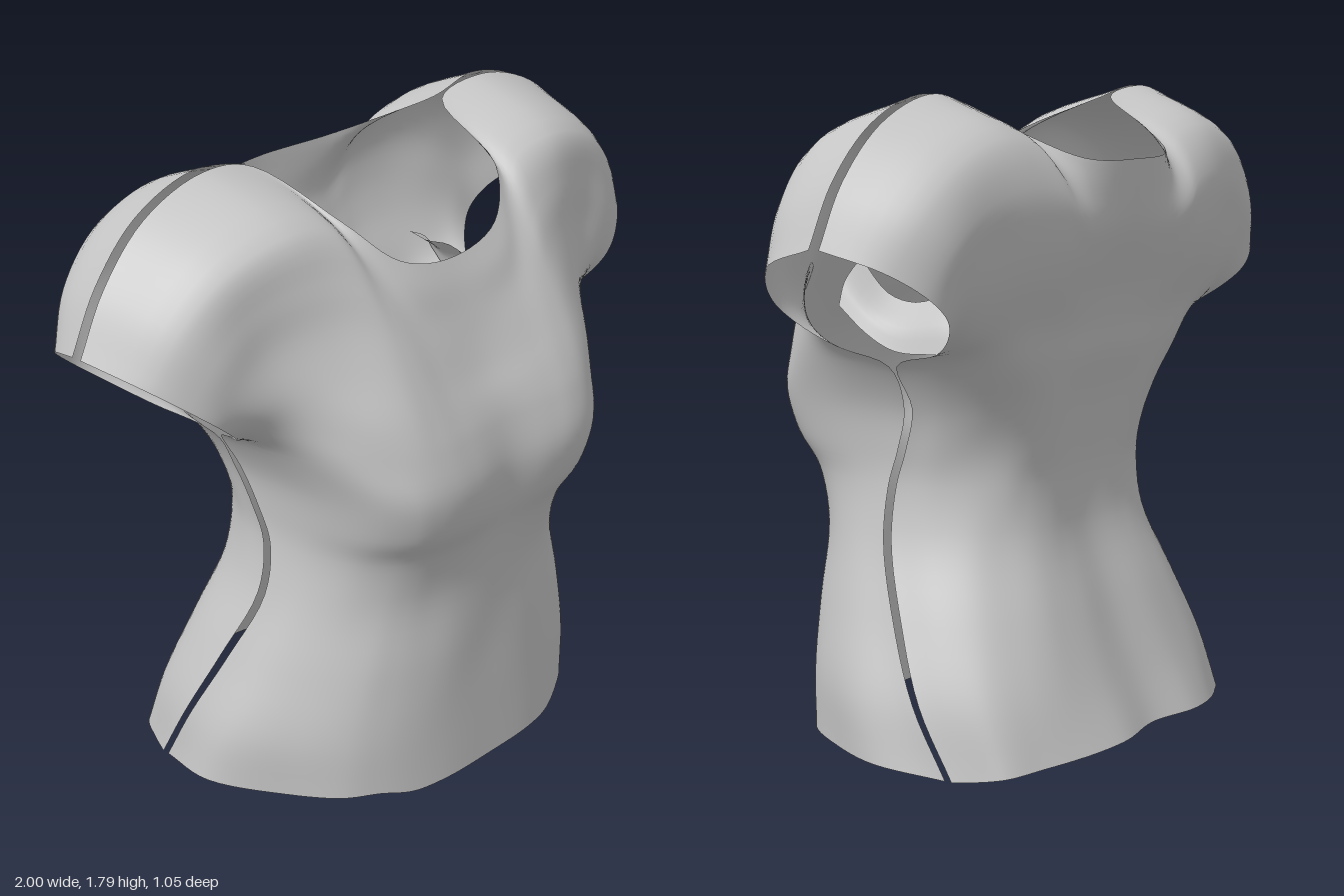
import * as THREE from 'three';

const fabric = new THREE.MeshStandardMaterial({ color: 0xc6c6c6, side: THREE.DoubleSide });
fabric.name = 'grey fabric';

// Smooth surface through a grid of control points (rows of Vector3)
function surface(name, grid, nu, nv, flip) {
  const rows = grid.map(r => new THREE.CatmullRomCurve3(r).getPoints(nu));
  const pos = [], idx = [];
  for (let i = 0; i <= nu; i++) {
    const column = new THREE.CatmullRomCurve3(rows.map(r => r[i])).getPoints(nv);
    for (const p of column) pos.push(p.x, p.y, p.z);
  }
  for (let i = 0; i < nu; i++) for (let j = 0; j < nv; j++) {
    const a = i * (nv + 1) + j, b = a + nv + 1;
    if (flip) idx.push(a, a + 1, b, b, a + 1, b + 1);
    else idx.push(a, b, a + 1, b, b + 1, a + 1);
  }
  const g = new THREE.BufferGeometry();
  g.setAttribute('position', new THREE.Float32BufferAttribute(pos, 3));
  g.setIndex(idx);
  g.computeVertexNormals();
  const m = new THREE.Mesh(g, fabric);
  m.name = name;
  return m;
}

// Column positions from the centre line to the side seam
const U = [0, 0.27, 0.44, 0.58, 0.71, 0.85, 0.95, 1];
const CHEST_Y = 1.09, CHEST_W = 0.585;

// Torso rows: height, half width, tuck of the side seam
const torso = [
  [0.01, 0.67, 0.05], [0.2, 0.655, 0.03], [0.4, 0.585, 0.01], [0.6, 0.51, 0],
  [0.75, 0.485, 0], [0.85, 0.49, 0], [0.97, 0.515, 0], [CHEST_Y, CHEST_W, 0],
];
// Yoke rows: share of the way from chest line to neckline and shoulder seam
const yoke = [0.15, 0.33, 0.5, 0.67, 0.85, 1];
const shoulder = [[0.37, 1.77], [0.55, 1.8], [0.76, 1.73], [0.91, 1.59], [1, 1.43]];

// Depth of each row, centre to side
const frontZ = [
  [0.44, 0.435, 0.41, 0.37, 0.31, 0.18, -0.03, -0.235],
  [0.435, 0.43, 0.41, 0.375, 0.32, 0.21, 0.04, -0.13],
  [0.43, 0.43, 0.41, 0.38, 0.335, 0.24, 0.11, -0.03],
  [0.44, 0.43, 0.41, 0.385, 0.345, 0.27, 0.17, 0.05],
  [0.46, 0.46, 0.45, 0.43, 0.39, 0.31, 0.19, 0.05],
  [0.485, 0.5, 0.5, 0.49, 0.46, 0.38, 0.23, 0.015],
  [0.495, 0.515, 0.52, 0.51, 0.485, 0.41, 0.25, -0.025],
  [0.47, 0.485, 0.49, 0.475, 0.43, 0.34, 0.18, -0.025],
  [0.445, 0.455, 0.455, 0.44, 0.39, 0.29, 0.19, 0.1],
  [0.4, 0.41, 0.405, 0.38, 0.32, 0.25, 0.21, 0.165],
  [0.365, 0.37, 0.355, 0.32, 0.265, 0.21, 0.2, 0.185],
  [0.335, 0.33, 0.3, 0.265, 0.23, 0.19, 0.18, 0.16],
  [0.305, 0.295, 0.23, 0.18, 0.175, 0.15, 0.12, 0.09],
  [0.275, 0.255, 0.16, -0.1, -0.105, -0.1, -0.09, -0.085],
];
const backZ = [
  [-0.5, -0.525, -0.51, -0.48, -0.44, -0.39, -0.33, -0.255],
  [-0.44, -0.455, -0.445, -0.425, -0.39, -0.33, -0.25, -0.15],
  [-0.36, -0.375, -0.37, -0.355, -0.32, -0.26, -0.17, -0.055],
  [-0.29, -0.3, -0.3, -0.285, -0.25, -0.19, -0.09, 0.025],
  [-0.28, -0.29, -0.285, -0.27, -0.24, -0.17, -0.08, 0.025],
  [-0.29, -0.3, -0.3, -0.285, -0.25, -0.18, -0.1, -0.01],
  [-0.31, -0.32, -0.325, -0.315, -0.29, -0.23, -0.14, -0.05],
  [-0.34, -0.35, -0.35, -0.345, -0.33, -0.28, -0.18, -0.05],
  [-0.35, -0.36, -0.365, -0.365, -0.355, -0.33, -0.29, -0.22],
  [-0.37, -0.385, -0.4, -0.41, -0.4, -0.37, -0.34, -0.31],
  [-0.4, -0.415, -0.43, -0.435, -0.42, -0.385, -0.365, -0.35],
  [-0.425, -0.435, -0.44, -0.43, -0.415, -0.39, -0.37, -0.335],
  [-0.435, -0.42, -0.38, -0.35, -0.35, -0.34, -0.31, -0.26],
  [-0.44, -0.4, -0.28, -0.13, -0.135, -0.13, -0.12, -0.115],
];

// One half of the shirt, mirrored across x
function panel(name, depths, neckline, isBack) {
  const top = [...neckline, ...shoulder];
  const grid = depths.map((zs, j) => {
    const half = zs.map((z, i) => {
      if (j < torso.length) {
        const [y, w, tuck] = torso[j];
        const shift = i === 7 ? -tuck : i === 6 && !isBack ? tuck : i === 6 ? -tuck : 0;
        const lift = j > 0 ? 0 : isBack ? 0.05 * (1 - U[i] ** 2) : (i > 2 && i < 7 ? 0.02 : 0);
        return new THREE.Vector3(w * (U[i] + shift), y + lift, z);
      }
      const v = yoke[j - torso.length];
      return new THREE.Vector3(
        THREE.MathUtils.lerp(CHEST_W * U[i], top[i][0], v),
        THREE.MathUtils.lerp(CHEST_Y, top[i][1], v), z);
    });
    const mirrored = half.slice(1).reverse().map(p => new THREE.Vector3(-p.x, p.y, p.z));
    return [...mirrored, ...half];
  });
  return surface(name, grid, 84, 65, isBack);
}

// Fabric folded inwards under the arm
function underarmFold(name, side) {
  const zs = [0.14, 0.05, -0.04, -0.16, -0.25, -0.32];
  const topY = [1.36, 1.27, 1.25, 1.28, 1.27, 1.28];
  const lowY = [1.24, 1.17, 1.13, 1.13, 1.14, 1.2];
  const grid = [0, 0.5, 1].map(t => zs.map((z, i) => new THREE.Vector3(
    side * (0.58 - 0.1 * t * t), THREE.MathUtils.lerp(lowY[i], topY[i], t), z)));
  return surface(name, grid, 20, 8, side < 0);
}

export function createModel() {
  const shirt = new THREE.Group();
  shirt.name = 'shirt';
  shirt.add(
    panel('frontPanel', frontZ, [[0, 1.51], [0.19, 1.55], [0.3, 1.66]], false),
    panel('backPanel', backZ, [[0, 1.62], [0.22, 1.63], [0.31, 1.69]], true),
    underarmFold('leftUnderarmFold', 1),
    underarmFold('rightUnderarmFold', -1),
  );
  return shirt;
}
